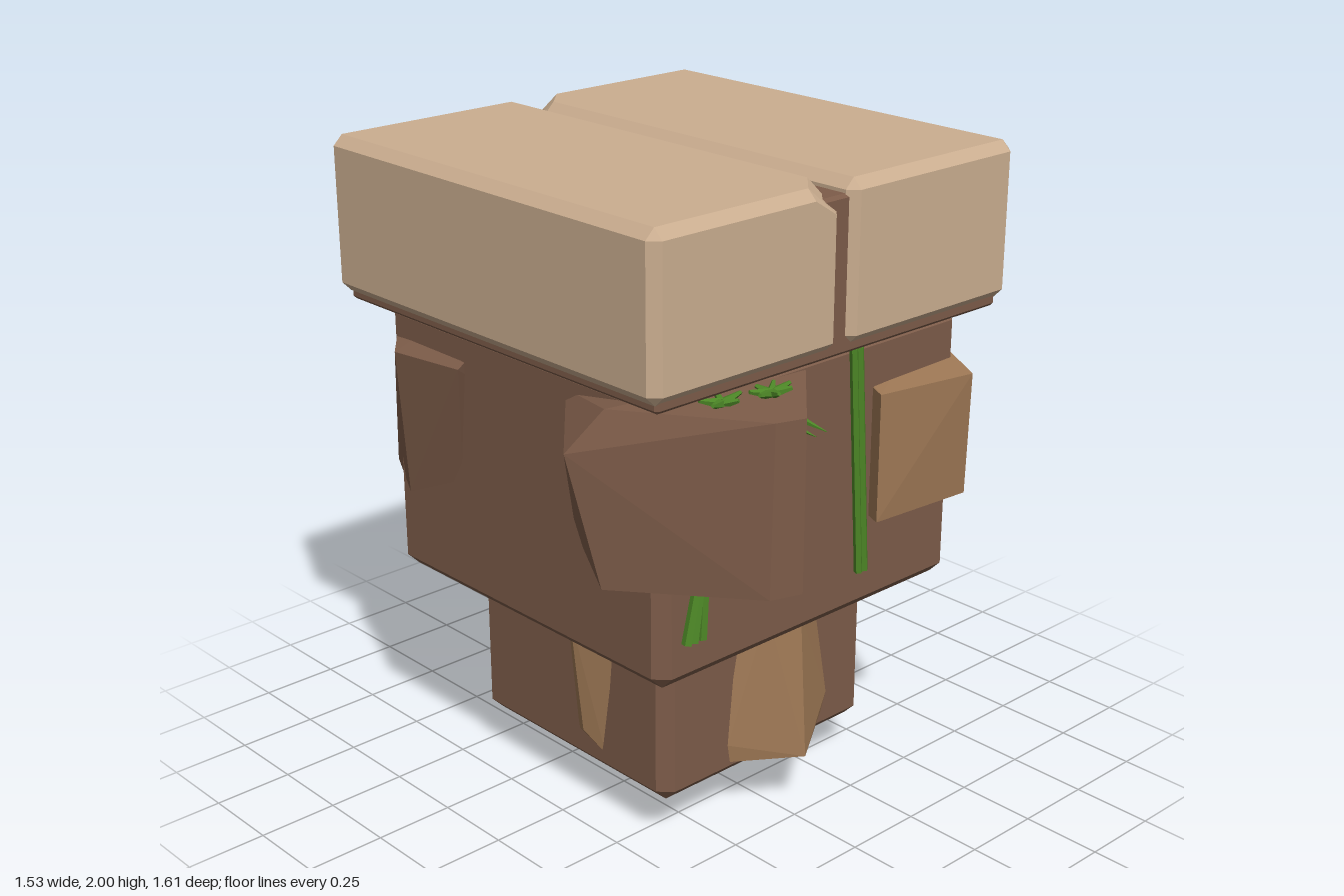
import * as THREE from 'three';
import { ConvexGeometry } from 'three/addons/geometries/ConvexGeometry.js';

const V = (p) => new THREE.Vector3(...p);

function material(name, color) {
  const m = new THREE.MeshStandardMaterial({ color });
  m.name = name;
  return m;
}

// Box with chamfered edges; cut = [sx, sy, sz] names one corner that is broken off
function chamferBox(min, max, b, cut) {
  const pts = [];
  for (const sx of [-1, 1]) for (const sy of [-1, 1]) for (const sz of [-1, 1]) {
    const s = [sx, sy, sz];
    const at = (dx, dy, dz) => pts.push(V([dx, dy, dz].map((d, i) => (s[i] > 0 ? max[i] - d : min[i] + d))));
    if (cut && s.every((v, i) => v === cut[i])) {
      const c = 0.11, h = 0.08;
      at(c, 0, b); at(b, 0, c);
      at(c, b, 0); at(b, h, 0);
      at(0, h, b); at(0, b, c);
    } else {
      at(0, b, b); at(b, 0, b); at(b, b, 0);
    }
  }
  return new ConvexGeometry(pts);
}

export function createModel() {
  const group = new THREE.Group();
  const slabMat = material('pale stone', 0xcbae90);
  const earthMat = material('brown earth', 0x7d5c49);
  const rockMat = material('tan rock', 0x9e7855);
  const grassMat = material('grass green', 0x4c8626);

  const add = (name, geo, mat, parent = group) => {
    const mesh = new THREE.Mesh(geo, mat);
    mesh.name = name;
    parent.add(mesh);
    return mesh;
  };
  const rock = (name, mat, pts) => add(name, new ConvexGeometry(pts.map(V)), mat);

  // Paving slabs, each with one broken corner
  add('rightSlab', chamferBox([-0.69, 1.53, -0.765], [-0.005, 2, 0.635], 0.03, [1, 1, 1]), slabMat);
  add('leftSlab', chamferBox([0.03, 1.53, -0.757], [0.715, 2, 0.635], 0.03, [-1, 1, -1]), slabMat);

  // Stepped earth body
  add('slabBed', chamferBox([-0.66, 1.505, -0.735], [0.685, 1.96, 0.612], 0.01), earthMat);
  add('upperEarth', chamferBox([-0.59, 0.645, -0.657], [0.612, 1.51, 0.547], 0.04), earthMat);
  add('lowerEarth', chamferBox([-0.415, 0.14, -0.485], [0.437, 0.7, 0.37], 0.04), earthMat);

  // Rocks around the upper body
  rock('frontRightRock', earthMat, [
    [-0.305, 1.46, 0.8], [-0.305, 0.955, 0.8], [-0.4, 1.465, 0.78], [-0.4, 0.955, 0.77],
    [-0.04, 1.465, 0.54], [-0.055, 0.985, 0.54], [-0.68, 1.48, 0.43], [-0.77, 1.36, 0.37],
    [-0.69, 0.96, 0.42], [-0.55, 1.42, 0.12], [-0.55, 1.0, 0.15], [-0.3, 1.48, 0.5],
  ]);
  rock('frontLeftRock', rockMat, [
    [0.21, 1.34, 0.6], [0.21, 0.945, 0.6], [0.54, 1.34, 0.66], [0.56, 0.95, 0.635],
    [0.69, 1.38, 0.33], [0.69, 0.93, 0.33], [0.76, 1.37, 0.11], [0.76, 1.0, 0.12],
    [0.7, 0.912, 0.07], [0.75, 1.3, 0.03], [0.74, 1.02, 0.04], [0.5, 1.39, 0.06],
    [0.5, 0.92, 0.05], [0.3, 1.35, 0.4], [0.3, 0.94, 0.4],
  ]);
  rock('backLeftRock', rockMat, [
    [0.57, 1.37, -0.06], [0.57, 1.23, -0.06], [0.6, 1.46, -0.14], [0.57, 1.035, -0.2],
    [0.73, 1.48, -0.54], [0.735, 1.36, -0.54], [0.7, 1.42, -0.28], [0.66, 1.06, -0.5],
    [0.6, 1.06, -0.71], [0.66, 1.47, -0.7], [0.09, 1.4, -0.81], [0.13, 1.47, -0.74],
    [0.12, 1.1, -0.71], [0.08, 1.25, -0.63],
  ]);
  rock('backRightRock', earthMat, [
    [-0.08, 1.4, -0.65], [-0.08, 1.02, -0.65], [-0.15, 1.42, -0.75], [-0.14, 0.98, -0.7],
    [-0.45, 1.4, -0.79], [-0.52, 0.95, -0.74], [-0.68, 1.4, -0.5], [-0.635, 0.94, -0.52],
    [-0.64, 1.4, -0.25], [-0.58, 1.02, -0.33],
  ]);

  // Shards around the lower body
  rock('frontShard', rockMat, [
    [-0.11, 0.68, 0.36], [-0.05, 0.68, 0.42], [0.04, 0.66, 0.47], [0.16, 0.68, 0.4],
    [-0.17, 0.26, 0.38], [-0.16, 0.2, 0.38], [0.03, 0.2, 0.51], [0.21, 0.32, 0.42],
    [0.21, 0.24, 0.4], [0.05, 0.21, 0.33],
  ]);
  rock('leftShard', rockMat, [
    [0.42, 0.68, 0.1], [0.49, 0.68, 0.05], [0.47, 0.68, -0.13], [0.53, 0.37, 0.0],
    [0.43, 0.33, 0.11], [0.42, 0.29, 0.05], [0.44, 0.295, -0.1], [0.46, 0.34, -0.125],
    [0.38, 0.5, 0],
  ]);
  rock('rightShard', rockMat, [
    [-0.49, 0.68, 0.04], [-0.42, 0.68, 0.16], [-0.42, 0.68, -0.06], [-0.445, 0.28, 0.04],
    [-0.41, 0.21, 0.1], [-0.41, 0.25, -0.02], [-0.36, 0.5, 0.04],
  ]);
  rock('backShard', rockMat, [
    [0.12, 0.68, -0.47], [0.04, 0.68, -0.51], [-0.02, 0.68, -0.47], [0.05, 0.4, -0.5], [0.05, 0.5, -0.4],
  ]);
  rock('bottomRock', rockMat, [
    [-0.17, 0.15, -0.02], [-0.165, 0.05, -0.02], [-0.13, 0.008, -0.05], [0.3, 0.02, -0.06],
    [0.34, 0.15, -0.02], [0.33, 0.1, -0.3], [0.28, 0.02, -0.4], [-0.1, 0.005, -0.41],
    [-0.15, 0.1, -0.44], [-0.1, 0.28, -0.495], [0.08, 0.34, -0.495], [0.28, 0.27, -0.495],
    [0.32, 0.15, -0.46],
  ]);

  // Grass: tapered stalks between two points
  const grass = new THREE.Group();
  grass.name = 'grass';
  group.add(grass);
  const stalk = (a, b, r0, r1) => {
    const from = V(a), dir = V(b).sub(from);
    const geo = new THREE.CylinderGeometry(r1, r0, dir.length(), 5).toNonIndexed();
    geo.computeVertexNormals();
    const mesh = add('grassStalk', geo, grassMat, grass);
    mesh.position.copy(from).addScaledVector(dir, 0.5);
    mesh.quaternion.setFromUnitVectors(new THREE.Vector3(0, 1, 0), dir.normalize());
  };
  // Long hanging strands
  for (const d of [-0.012, 0.012]) {
    stalk([0.14 + d, 1.49, 0.565], [0.19 + d, 0.785, 0.565], 0.013, 0.013);
  }
  for (const x of [-0.51, -0.485, -0.455]) {
    stalk([-0.43, 1.1, 0.56], [x, 0.785, 0.565], 0.013, 0.016);
  }
  // Tufts on and through the front rock
  for (const [x, z, n] of [[-0.27, 0.635, 7], [-0.42, 0.6, 5]]) {
    for (let i = 0; i < n; i++) {
      const a = (i / n) * Math.PI * 2;
      stalk([x, 1.475, z], [x + 0.07 * Math.cos(a), 1.49, z + 0.045 * Math.sin(a)], 0.016, 0.006);
    }
  }
  stalk([-0.25, 1.4, 0.68], [-0.215, 1.37, 0.75], 0.012, 0.001);
  stalk([-0.2, 1.4, 0.64], [-0.13, 1.35, 0.71], 0.014, 0.001);
  return group;
}
